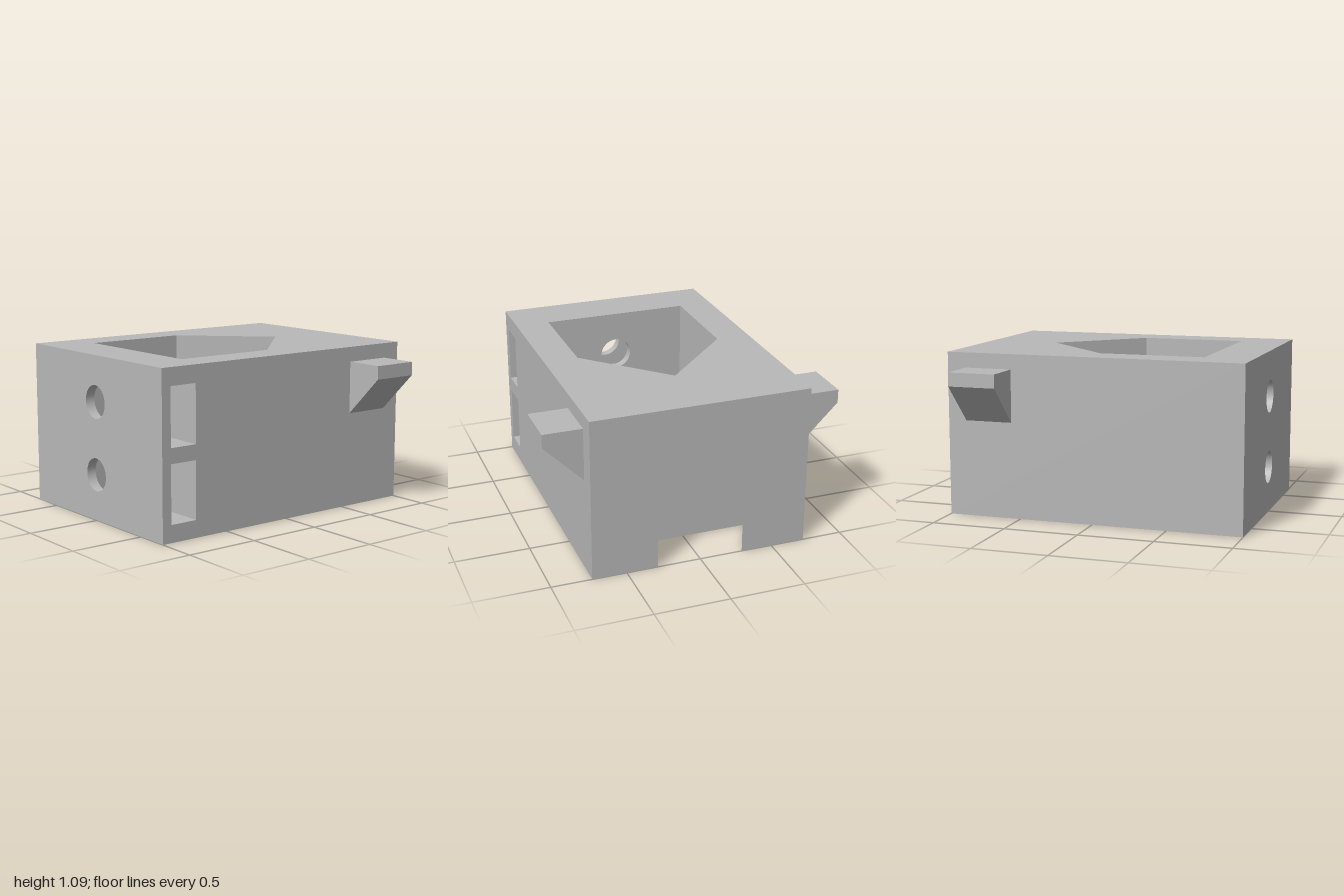
import * as THREE from 'three';
import { mergeGeometries } from 'three/addons/utils/BufferGeometryUtils.js';

const W = 0.73, H = 1.09, D = 1;                 // half width, height, half depth
const CAVITY_FRONT = 0.68, HOLE_R = 0.11;
const POCKET = { z0: 0.745, z1: 0.935, end: -0.19, half: 0.19 };
const HOLE_Y = [0.305, 0.785];
const SLOT_TOP = 0.89;

// Footprints as [x, z]
const house = [[-0.5, CAVITY_FRONT], [-0.5, -0.02], [0, -0.52], [0.5, -0.02], [0.5, CAVITY_FRONT]];
const dovetail = [[0.29, -D], [0.45, -0.69], [-0.45, -0.69], [-0.29, -D]];

const toPoints = (list) => list.map(([a, b]) => new THREE.Vector2(a, b));
const rect = (a0, b0, a1, b1) => [[a0, b0], [a1, b0], [a1, b1], [a0, b1]];
const polyHole = (list) => new THREE.Path(toPoints(list));
const roundHole = (y) => new THREE.Path().absarc(0, y, HOLE_R, 0, Math.PI * 2, false);

function flipWinding(geometry) {
  const index = geometry.index.array;
  for (let i = 0; i < index.length; i += 3) {
    [index[i], index[i + 1]] = [index[i + 1], index[i]];
  }
}

// Flat panel with holes, placed on a plane by a mapping
function panel(outline, holes, map, flip) {
  const shape = new THREE.Shape(toPoints(outline));
  shape.holes.push(...holes);
  const g = new THREE.ShapeGeometry(shape, 16);
  const p = g.attributes.position;
  for (let i = 0; i < p.count; i++) p.setXYZ(i, ...map(p.getX(i), p.getY(i)));
  if (flip) flipWinding(g);
  g.computeVertexNormals();
  return g.toNonIndexed();
}
const facingZ = (z, sign, outline, holes = []) => panel(outline, holes, (x, y) => [x, y, z], sign < 0);
const facingY = (y, sign, outline, holes = []) => panel(outline, holes, (x, z) => [x, y, z], sign > 0);
const facingX = (x, sign, outline, holes = []) => panel(outline, holes, (z, y) => [x, y, z], sign > 0);

// Upright walls along an open footprint path
function walls(path, y0, y1) {
  return path.slice(1).map(([x1, z1], i) => {
    const [x0, z0] = path[i];
    return panel(rect(0, y0, 1, y1), [], (t, y) => [x0 + (x1 - x0) * t, y, z0 + (z1 - z0) * t], false);
  });
}

// Inward-facing round bore between two depths
function bore(y, z0, z1) {
  const g = new THREE.CylinderGeometry(HOLE_R, HOLE_R, z1 - z0, 32, 1, true);
  flipWinding(g);
  g.computeVertexNormals();
  g.rotateX(Math.PI / 2).translate(0, y, (z0 + z1) / 2);
  return g.toNonIndexed();
}

export function createModel() {
  const model = new THREE.Group();
  model.name = 'slottedBlock';
  const grey = new THREE.MeshStandardMaterial({ color: 0xb8b8b8, side: THREE.DoubleSide });
  grey.name = 'grey';

  const add = (name, geometry) => {
    const mesh = new THREE.Mesh(geometry, grey);
    mesh.name = name;
    model.add(mesh);
  };
  const addPanels = (name, list) => add(name, mergeGeometries(list));

  const { z0, z1, end, half } = POCKET;
  const holes = () => HOLE_Y.map(roundHole);

  // Outer shell
  addPanels('shell', [
    facingY(H, 1, rect(-W, -D, W, D), [polyHole(house)]),
    facingY(0, -1, [[-W, -D], [-W, D], [W, D], [W, -D], ...dovetail], [polyHole(house)]),
    facingZ(D, 1, rect(-W, 0, W, H), holes()),
    facingZ(-D, -1, [[-W, 0], [-0.29, 0], [-0.29, SLOT_TOP], [0.29, SLOT_TOP], [0.29, 0], [W, 0], [W, H], [-W, H]]),
    facingX(W, 1, rect(-D, 0, D, H), HOLE_Y.map((y) => polyHole(rect(z0, y - half, z1, y + half)))),
    facingX(-W, -1, rect(-D, 0, D, H)),
  ]);

  // House-shaped opening running from top to bottom
  addPanels('cavity', [
    ...walls(house, 0, H),
    facingZ(CAVITY_FRONT, -1, rect(-0.5, 0, 0.5, H), holes()),
  ]);

  // Dovetail slot in the back, open at the bottom
  addPanels('dovetailSlot', [
    ...walls(dovetail, 0, SLOT_TOP),
    facingY(SLOT_TOP, -1, dovetail),
  ]);

  // Nut pockets from the left side, crossed by the screw holes
  HOLE_Y.forEach((y) => {
    const lo = y - half, hi = y + half;
    addPanels('nutPocket', [
      facingY(lo, 1, rect(end, z0, W, z1)),
      facingY(hi, -1, rect(end, z0, W, z1)),
      facingZ(z1, -1, rect(end, lo, W, hi), [roundHole(y)]),
      facingZ(z0, 1, rect(end, lo, W, hi), [roundHole(y)]),
      facingX(end, 1, rect(z0, lo, z1, hi)),
    ]);
    addPanels('screwHole', [bore(y, CAVITY_FRONT, z0), bore(y, z1, D)]);
  });

  // Side lugs with sloped undersides
  for (const side of [1, -1]) {
    const profile = [[W, 0.64], [0.99, 0.9], [0.99, 0.99], [W, 0.99]].map(([x, y]) => [side * x, y]);
    const g = new THREE.ExtrudeGeometry(new THREE.Shape(toPoints(profile)), { depth: 0.32, bevelEnabled: false });
    add(side > 0 ? 'leftLug' : 'rightLug', g.translate(0, 0, -0.875));
  }
  return model;
}
